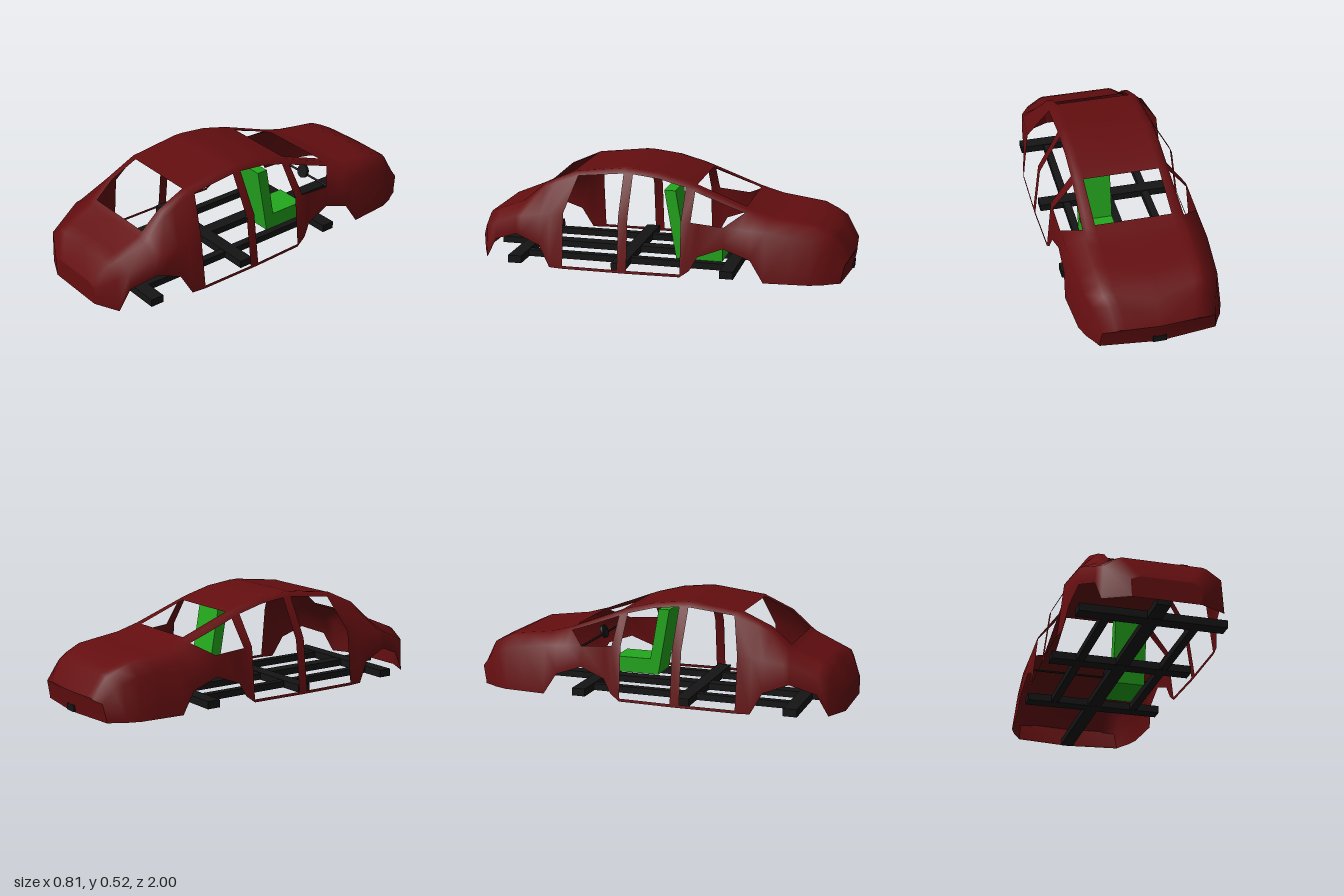
import * as THREE from 'three';

const paint = new THREE.MeshStandardMaterial({ color: 0x640e10, side: THREE.DoubleSide });
const black = new THREE.MeshStandardMaterial({ color: 0x151515 });
const green = new THREE.MeshStandardMaterial({ color: 0x24a81e });

// Piecewise linear curve along the car: knots are [z, value], z falling
const curve = (...k) => (z) => {
  let i = 1;
  while (i < k.length - 1 && z < k[i][0]) i++;
  const t = THREE.MathUtils.clamp((k[i - 1][0] - z) / (k[i - 1][0] - k[i][0]), 0, 1);
  return THREE.MathUtils.lerp(k[i - 1][1], k[i][1], t);
};

// Body lines
const topY = curve([1, 0.11], [0.94, 0.23], [0.74, 0.31], [0.63, 0.41], [0.45, 0.49], [0.17, 0.52],
  [0, 0.5], [-0.15, 0.46], [-0.45, 0.345], [-0.57, 0.31], [-0.8, 0.28], [-0.93, 0.22], [-1, 0.11]);
const edgeX = curve([1, 0.12], [0.94, 0.2], [0.75, 0.23], [0.47, 0.235], [-0.15, 0.235], [-0.6, 0.25], [-0.85, 0.24], [-1, 0.2]);
const railDrop = curve([1, 0.005], [0.72, 0.015], [0.45, 0.025], [-0.3, 0.025], [-0.6, 0.012], [-1, 0.008]);
const shoulderX = curve([1, 0.175], [0.94, 0.29], [0.75, 0.355], [0.485, 0.371], [-0.15, 0.365], [-0.57, 0.357],
  [-0.8, 0.34], [-0.93, 0.3], [-1, 0.285]);
const shoulderY = curve([1, 0.09], [0.94, 0.175], [0.75, 0.255], [0.485, 0.29], [-0.19, 0.285], [-0.36, 0.27],
  [-0.57, 0.255], [-0.8, 0.215], [-0.93, 0.16], [-1, 0.095]);
const bottomX = curve([1, 0.17], [0.94, 0.3], [0.75, 0.367], [0.485, 0.404], [0.15, 0.405], [-0.15, 0.394],
  [-0.57, 0.386], [-0.8, 0.368], [-0.93, 0.32], [-1, 0.295]);
const archY = curve([0.94, 0], [0.88, 0.11], [0.75, 0.16], [0.62, 0.11], [0.56, 0], [-0.17, 0],
  [-0.23, 0.11], [-0.36, 0.16], [-0.5, 0.11], [-0.57, 0]);

const C_EDGE = 0.485;
const stations = [1, 0.94, 0.88, 0.75, 0.72, 0.62, 0.56, C_EDGE, 0.19, 0.14, 0, -0.14, -0.19, -0.23, -0.36,
  -0.45, -0.5, -0.57, -0.7, -0.8, -0.87, -0.93, -1];
// Rear door edge leans forward towards the roof
const lean = [-0.015, -0.015, -0.025, -0.05, 0, 0, 0];

// Half section: centre, window line, panel edge, rail, shoulder, sill, bottom
function section(s) {
  return lean.map((shift, row) => {
    const z = s === C_EDGE ? s + shift : s;
    const e = edgeX(z), sx = shoulderX(z), sy = shoulderY(z), bottom = archY(z);
    const side = (y) => [THREE.MathUtils.lerp(bottomX(z), sx, y / sy), y];
    const [x, y] = [
      [0, topY(z)], [Math.min(0.2, e * 0.86), topY(z)], [e, topY(z)],
      [e + 0.02, topY(z) - railDrop(z)], [sx, sy], side(bottom + 0.015), side(bottom),
    ][row];
    // bowed nose, tucked in at the bottom
    const nose = THREE.MathUtils.clamp((-0.87 - z) / 0.13, 0, 1);
    const bow = nose * (0.035 * (x / 0.3) ** 2 + (row > 4 ? 0.015 : 0));
    return [x, y, z + bow];
  });
}

// Which cells of the skin are window or door openings
function isOpen(a, b, row) {
  const within = (front, back) => a <= back && b >= front;
  if (row === 0) return within(0.485, 0.72) || within(-0.45, -0.19);
  if (row === 3 && within(-0.36, -0.19)) return true;
  return (row === 3 || row === 4) && (within(0.19, C_EDGE) || within(-0.14, 0.14));
}

function bodyHalf(sign) {
  const rows = lean.length, pos = [], idx = [];
  stations.forEach((s) => section(s).forEach(([x, y, z]) => pos.push(sign * x, y, z)));
  const tri = (a, b, c) => (sign > 0 ? idx.push(a, b, c) : idx.push(a, c, b));
  for (let i = 0; i < stations.length - 1; i++) {
    for (let r = 0; r < rows - 1; r++) {
      const a = stations[i], b = stations[i + 1];
      if (isOpen(a, b, r)) continue;
      const p = i * rows + r, q = p + rows;
      // pointed front corner of the quarter window
      if (!(r === 3 && a === -0.36)) tri(p, p + 1, q);
      tri(p + 1, q + 1, q);
    }
  }
  // bumper faces, closed to the centre line
  for (const [station, flip] of [[0, 1], [stations.length - 1, -1]]) {
    const pts = section(stations[station]);
    const start = pos.length / 3;
    pts.forEach(([x, y, z]) => {
      const zc = stations[station] + (station && y < 0.05 ? 0.015 : 0);
      pos.push(sign * x, y, z, 0, y, zc);
    });
    for (let r = 0; r < rows - 1; r++) {
      const k = start + 2 * r;
      const corners = [[k, k + 1, k + 3], [k, k + 3, k + 2]];
      corners.forEach(([a, b, c]) => (flip > 0 ? tri(a, b, c) : tri(a, c, b)));
    }
  }
  const g = new THREE.BufferGeometry();
  g.setAttribute('position', new THREE.Float32BufferAttribute(pos, 3));
  g.setIndex(idx);
  g.computeVertexNormals();
  // keep normals of the centre line in the mirror plane
  const n = g.attributes.normal;
  for (let i = 0; i < n.count; i++) {
    if (Math.abs(pos[3 * i]) > 1e-6) continue;
    const v = new THREE.Vector3(0, n.getY(i), n.getZ(i)).normalize();
    n.setXYZ(i, v.x, v.y, v.z);
  }
  return g;
}

export function createModel() {
  const model = new THREE.Group();
  const add = (name, geometry, material, x = 0, y = 0, z = 0, parent = model) => {
    const mesh = new THREE.Mesh(geometry, material);
    mesh.name = name;
    mesh.position.set(x, y, z);
    parent.add(mesh);
    return mesh;
  };

  // Body shell
  add('bodyLeft', bodyHalf(1), paint);
  add('bodyRight', bodyHalf(-1), paint);

  // Ladder chassis
  const chassis = new THREE.Group();
  chassis.name = 'chassis';
  model.add(chassis);
  add('centreBeam', new THREE.BoxGeometry(0.07, 0.035, 1.94), black, 0, 0.02, -0.02, chassis);
  for (const x of [-0.222, 0.222]) {
    add('sideBeam', new THREE.BoxGeometry(0.04, 0.035, 1.16), black, x, 0.02, 0.19, chassis);
  }
  for (const z of [0.76, 0.195, -0.378]) {
    add('crossBeam', new THREE.BoxGeometry(0.74, 0.04, 0.072), black, 0, 0.021, z, chassis);
  }

  // Driver's seat, facing the nose
  const seat = new THREE.Group();
  seat.name = 'seat';
  model.add(seat);
  const back = new THREE.BoxGeometry(0.175, 0.365, 0.06);
  const p = back.attributes.position;
  for (let i = 0; i < p.count; i++) p.setZ(i, p.getZ(i) + p.getY(i) * 0.175);
  back.computeVertexNormals();
  add('seatBack', back, green, 0.122, 0.2225, -0.077, seat);
  add('seatCushion', new THREE.BoxGeometry(0.175, 0.085, 0.215), green, 0.122, 0.0825, -0.218, seat);

  // Dashboard bar and steering wheel
  const bar = add('dashboardBar', new THREE.CylinderGeometry(0.006, 0.006, 0.66, 8), black, 0, 0.22, -0.435);
  bar.rotation.z = Math.PI / 2;
  const wheel = add('steeringWheel', new THREE.CylinderGeometry(0.037, 0.037, 0.015, 20), black, 0.11, 0.24, -0.422);
  wheel.rotation.x = Math.PI / 2 - 0.3;

  return model;
}
